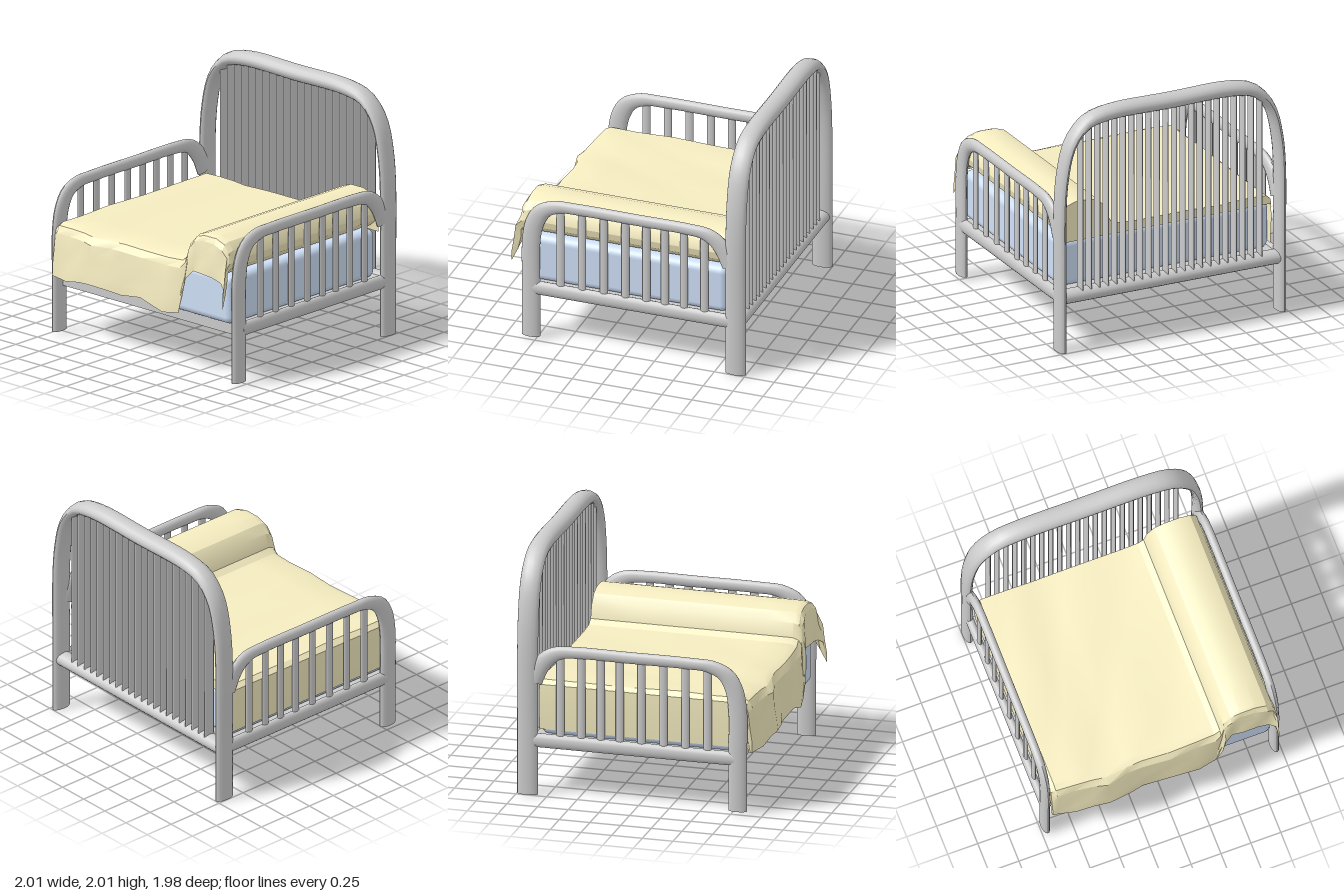
import * as THREE from 'three';
import { toCreasedNormals } from 'three/addons/utils/BufferGeometryUtils.js';
import { RoundedBoxGeometry } from 'three/addons/geometries/RoundedBoxGeometry.js';

const frameMat = new THREE.MeshStandardMaterial({ color: 0xcccccc });
const sheetMat = new THREE.MeshStandardMaterial({ color: 0xf5ecc0, side: THREE.DoubleSide });
const mattressMat = new THREE.MeshStandardMaterial({ color: 0xcfe0f8 });

function addMesh(parent, name, geometry, material = frameMat) {
  const mesh = new THREE.Mesh(geometry, material);
  mesh.name = name;
  parent.add(mesh);
  return mesh;
}

// Geometry from a list of rows, each row holding the same number of points
function loft(rows, crease) {
  const w = rows[0].length;
  const index = [];
  for (let i = 0; i < rows.length - 1; i++) {
    for (let j = 0; j < w - 1; j++) {
      const a = i * w + j, b = a + w;
      index.push(a, a + 1, b, a + 1, b + 1, b);
    }
  }
  const geo = new THREE.BufferGeometry().setFromPoints(rows.flat());
  geo.setIndex(index);
  return toCreasedNormals(geo, crease);
}

// Bent oval tube with hollow ends, lying in the plane across depthAxis
function bentTube(points, depthAxis, legHalf, topHalf, depthHalf) {
  const curve = new THREE.CatmullRomCurve3(points, false, 'centripetal');
  const steps = 72, sides = 16, rows = [];
  const ring = (t, scale) => {
    const c = curve.getPointAt(t), tan = curve.getTangentAt(t);
    const n = depthAxis.clone().cross(tan);
    const half = THREE.MathUtils.lerp(topHalf, legHalf, Math.abs(tan.y));
    const row = [];
    for (let j = 0; j <= sides; j++) {
      const a = (j % sides) / sides * Math.PI * 2;
      row.push(c.clone().addScaledVector(n, half * scale * Math.cos(a))
        .addScaledVector(depthAxis, depthHalf * scale * Math.sin(a)));
    }
    rows.push(row);
  };
  ring(0.012, 0.01); ring(0.012, 0.65); ring(0, 0.65);
  for (let i = 0; i <= steps; i++) ring(i / steps, 1);
  ring(1, 0.65); ring(0.988, 0.65); ring(0.988, 0.01);
  return loft(rows, 0.7);
}

// Upright oval bar
function slat(parent, name, x, z, y0, y1, rx, rz) {
  const mesh = addMesh(parent, name, new THREE.CylinderGeometry(1, 1, 1, 10));
  mesh.scale.set(rx, y1 - y0, rz);
  mesh.position.set(x, (y0 + y1) / 2, z);
}

function createHeadboard() {
  const g = new THREE.Group();
  g.name = 'headboard';
  const half = [[-0.962, 0.0], [-0.962, 0.6], [-0.962, 1.2], [-0.943, 1.45], [-0.89, 1.69],
    [-0.82, 1.81], [-0.72, 1.895], [-0.53, 1.937]];
  const path = [...half, [0, 1.938], ...half.map(([x, y]) => [-x, y]).reverse()]
    .map(([x, y]) => new THREE.Vector3(x, y, -0.915));
  addMesh(g, 'headboardFrame', bentTube(path, new THREE.Vector3(0, 0, 1), 0.038, 0.063, 0.085));
  for (let i = 0; i < 22; i++) {
    const x = -0.785 + i * 0.0748;
    const top = Math.abs(x) > 0.75 ? 1.84 : 1.9;
    slat(g, 'headboardSlat', x, -0.915, 0.45, top, 0.013, 0.05);
  }
  const rail = addMesh(g, 'backRail', new THREE.CylinderGeometry(1, 1, 1.9, 16));
  rail.rotation.z = Math.PI / 2;
  rail.scale.set(0.058, 1, 0.07);
  rail.position.set(0, 0.447, -0.915);
  return g;
}

function createSide(s) {
  const g = new THREE.Group();
  g.name = s > 0 ? 'leftSide' : 'rightSide';
  const x = s * 0.957;
  // Front leg running up into the arm and back to the headboard
  const path = [[0.795, 0.02], [0.795, 0.45], [0.795, 0.85], [0.765, 1.02], [0.7, 1.13], [0.58, 1.187],
    [0.4, 1.198], [-0.1, 1.198], [-0.5, 1.198], [-0.66, 1.183], [-0.75, 1.135], [-0.82, 1.05], [-0.87, 0.94]]
    .map(([z, y]) => new THREE.Vector3(x, y, z));
  addMesh(g, 'legAndArm', bentTube(path, new THREE.Vector3(1, 0, 0), 0.076, 0.047, 0.035));
  const rail = addMesh(g, 'sideRail', new THREE.CylinderGeometry(1, 1, 1.66, 16));
  rail.rotation.x = Math.PI / 2;
  rail.scale.set(0.035, 1, 0.058);
  rail.position.set(x, 0.447, -0.055);
  for (const z of [0.55, 0.37, 0.19, 0.01, -0.165, -0.32, -0.48, -0.65]) {
    slat(g, 'sideSlat', x, z, 0.47, 1.18, 0.016, 0.034);
  }
  return g;
}

// Cover draped over the mattress, a bolster along its left side and the front
function createCover() {
  // Each section: x, top height, hem height, hem z
  const sections = [
    [-0.925, 0.53, 0.5, 0.88], [-0.935, 0.75, 0.5, 0.89], [-0.93, 0.9, 0.5, 0.9], [-0.89, 0.933, 0.5, 0.92],
    [-0.75, 0.938, 0.5, 0.94], [-0.6, 0.935, 0.53, 0.96], [-0.48, 0.925, 0.545, 0.99], [-0.3, 0.932, 0.53, 0.95],
    [-0.18, 0.935, 0.51, 0.93], [0.05, 0.935, 0.55, 0.96], [0.28, 0.935, 0.48, 0.94], [0.43, 0.945, 0.5, 0.93],
    [0.48, 0.98, 0.65, 0.93], [0.51, 1.09, 0.8, 0.92], [0.57, 1.16, 0.87, 0.91], [0.65, 1.188, 0.875, 0.91],
    [0.78, 1.19, 0.86, 0.91], [0.87, 1.16, 0.84, 0.92], [0.92, 1.1, 0.81, 0.93], [0.94, 1.02, 0.64, 0.97],
    [0.925, 0.96, 0.74, 0.92], [0.86, 0.9, 0.86, 0.87], [0.6, 0.89, 0.88, 0.86],
  ];
  const drop = [[0.05, 0.45], [0.18, 0.72], [0.5, 0.8], [0.78, 0.95], [1, 1]];
  const rows = sections.map(([x, y, hem, hemZ], i) => {
    const row = [new THREE.Vector3(x, Math.min(y, 0.86), -0.83)];
    for (const z of [-0.825, -0.5, -0.1, 0.3, 0.6, 0.82]) {
      const inner = z > -0.8 && z < 0.8 && y > 0.92 && x < 0.4;
      row.push(new THREE.Vector3(x, y + (inner ? 0.008 * Math.sin(i * 2.1 + z * 6) : 0), z));
    }
    drop.forEach(([t, f], k) => row.push(new THREE.Vector3(
      x, y + (hem - y) * t, 0.82 + (hemZ - 0.82) * f + (k > 0 ? 0.008 * Math.sin(i * 2.3 + k) : 0))));
    return row;
  });
  return loft(rows, 0.45);
}

export function createModel() {
  const model = new THREE.Group();
  model.name = 'daybed';
  model.add(createHeadboard(), createSide(1), createSide(-1));
  // Bed base between the rails
  const base = addMesh(model, 'base', new THREE.BoxGeometry(1.88, 0.093, 1.7));
  base.position.set(0, 0.439, -0.06);
  const mattress = addMesh(model, 'mattress', new RoundedBoxGeometry(1.84, 0.4, 1.68, 3, 0.06), mattressMat);
  mattress.position.set(0, 0.683, 0.015);
  addMesh(model, 'cover', createCover(), sheetMat);
  return model;
}
